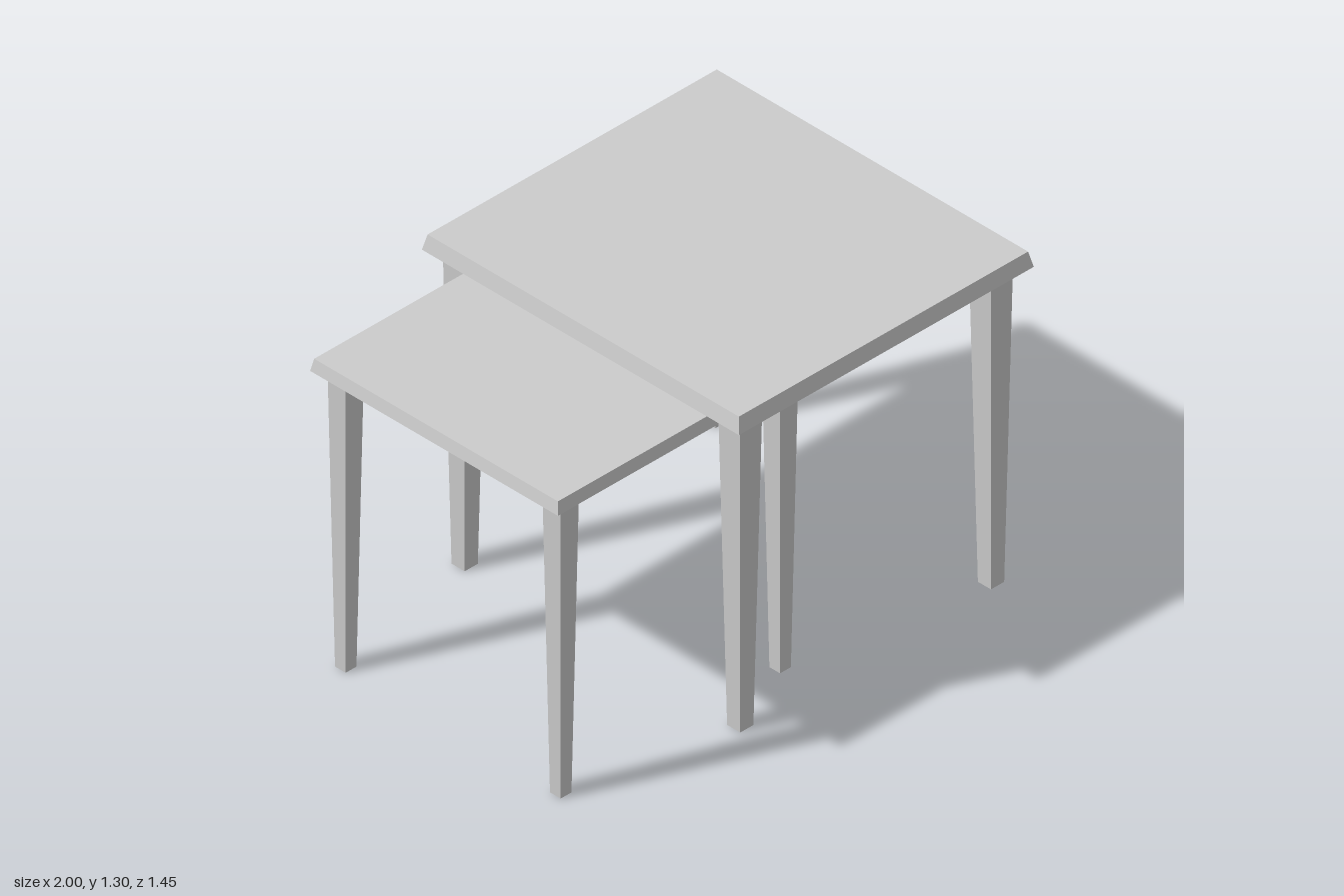
import * as THREE from 'three';

const material = new THREE.MeshStandardMaterial({ color: 0xcccccc, flatShading: true });

// Box standing on y = 0 whose top and bottom may differ in size
function taperedBox(bottomW, bottomD, topW, topD, height) {
  const geometry = new THREE.BoxGeometry(1, height, 1).translate(0, height / 2, 0);
  const p = geometry.attributes.position;
  for (let i = 0; i < p.count; i++) {
    const atTop = p.getY(i) > height / 2;
    p.setX(i, p.getX(i) * (atTop ? topW : bottomW));
    p.setZ(i, p.getZ(i) * (atTop ? topD : bottomD));
  }
  geometry.computeVertexNormals();
  return geometry;
}

function add(group, name, geometry, x, y, z) {
  const mesh = new THREE.Mesh(geometry, material);
  mesh.name = name;
  mesh.position.set(x, y, z);
  group.add(mesh);
}

// width/depth: slab size; legX/legZ: leg centre offsets
function table(name, { x, width, depth, bevel, slabY, topY, legX, legZ, legTop, legFoot, apronY }) {
  const group = new THREE.Group();
  group.name = name;
  group.position.x = x;

  // Slab with sides leaning inward towards the top
  add(group, 'tableTop',
    taperedBox(width, depth, width - 2 * bevel, depth - 2 * bevel, topY - slabY), 0, slabY, 0);

  // Aprons run between the legs, set a little behind their outer faces
  const thick = legTop * 0.3;
  const inset = legTop * 0.12;
  const apronH = slabY - apronY;
  const legGeometry = taperedBox(legFoot, legFoot, legTop, legTop, slabY);
  const longX = 2 * legX - legTop * 0.9;
  const longZ = 2 * legZ - legTop * 0.9;
  const offset = legTop / 2 - inset - thick / 2;

  for (const s of [-1, 1]) {
    add(group, s > 0 ? 'frontApron' : 'backApron',
      taperedBox(longX, thick, longX, thick, apronH), 0, apronY, s * (legZ + offset));
    add(group, s > 0 ? 'leftApron' : 'rightApron',
      taperedBox(thick, longZ, thick, longZ, apronH), s * (legX + offset), apronY, 0);
    for (const t of [-1, 1]) {
      add(group, `${t > 0 ? 'front' : 'back'}${s > 0 ? 'Left' : 'Right'}Leg`,
        legGeometry, s * legX, 0, t * legZ);
    }
  }
  return group;
}

export function createModel() {
  const model = new THREE.Group();
  model.name = 'nestingTables';
  model.add(
    table('largeTable', {
      x: 0.331, width: 1.336, depth: 1.454, bevel: 0.013, slabY: 1.242, topY: 1.302,
      legX: 0.568, legZ: 0.632, legTop: 0.1, legFoot: 0.06, apronY: 1.2,
    }),
    table('smallTable', {
      x: -0.416, width: 1.168, depth: 1.136, bevel: 0.009, slabY: 1.173, topY: 1.221,
      legX: 0.497, legZ: 0.493, legTop: 0.083, legFoot: 0.049, apronY: 1.134,
    }),
  );
  return model;
}
